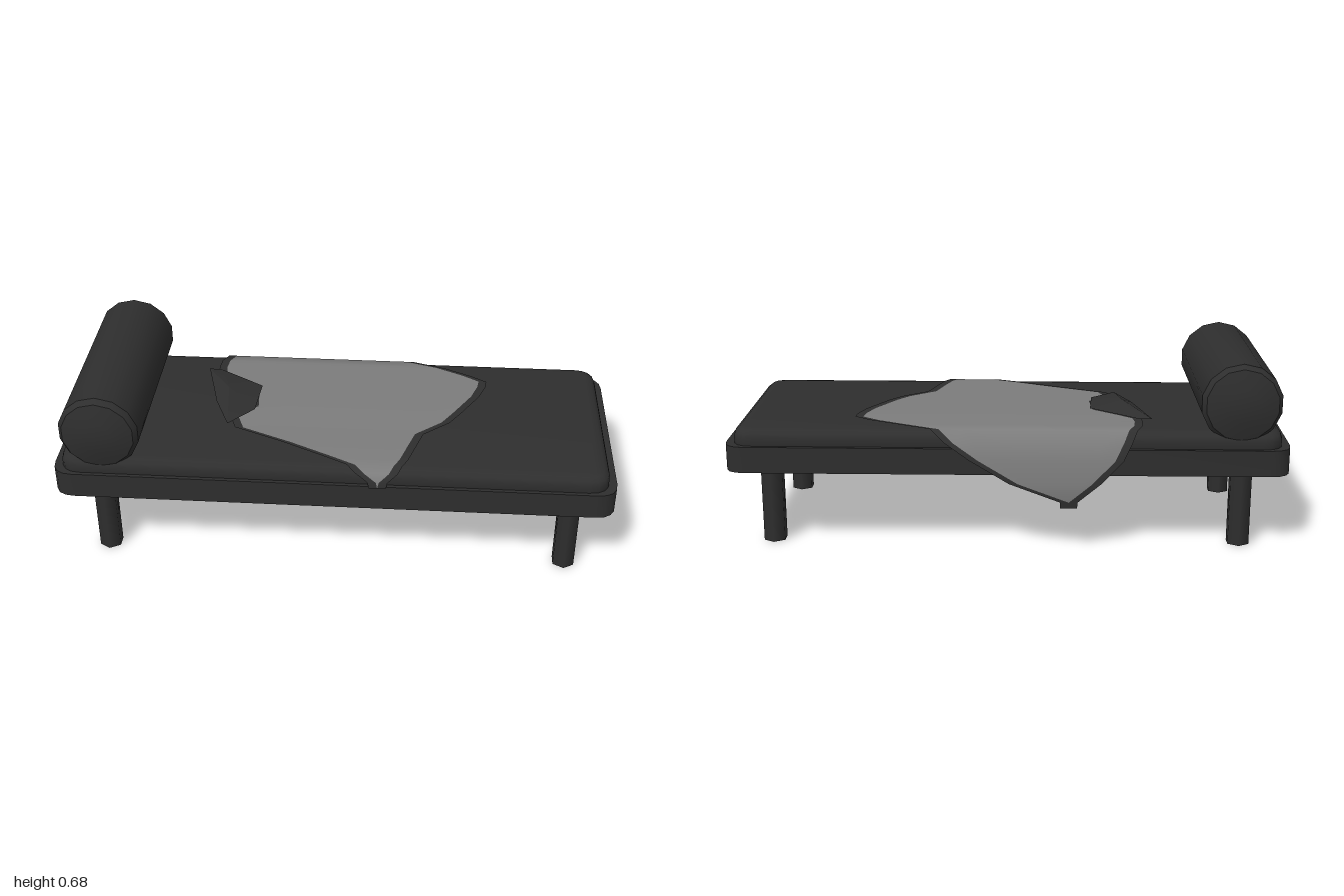
import * as THREE from 'three';
import { toCreasedNormals } from 'three/addons/utils/BufferGeometryUtils.js';

const CZ = 0.012; // bed centre in z

// Plan outline with rounded corners
function roundedRect(hx, hz, r) {
  const s = new THREE.Shape();
  s.moveTo(-hx + r, -hz);
  s.lineTo(hx - r, -hz);
  s.quadraticCurveTo(hx, -hz, hx, -hz + r);
  s.lineTo(hx, hz - r);
  s.quadraticCurveTo(hx, hz, hx - r, hz);
  s.lineTo(-hx + r, hz);
  s.quadraticCurveTo(-hx, hz, -hx, hz - r);
  s.lineTo(-hx, -hz + r);
  s.quadraticCurveTo(-hx, -hz, -hx + r, -hz);
  return s;
}

// Horizontal slab standing on height y
function slab(hx, hz, r, y, options) {
  const g = new THREE.ExtrudeGeometry(roundedRect(hx, hz, r), { curveSegments: 4, ...options });
  g.rotateX(-Math.PI / 2);
  g.translate(0, y, CZ);
  return toCreasedNormals(g, 0.7);
}

// Sheet between two edges, one pair of points per row
function sheet(rows, left, right) {
  const pos = [], index = [];
  const n = 8;
  rows.forEach((row, i) => {
    const [z, y] = row;
    for (let j = 0; j <= n; j++) {
      pos.push(THREE.MathUtils.lerp(left(row), right(row), j / n), y, z);
      if (i && j) {
        const d = i * (n + 1) + j, c = d - 1, b = d - n - 1, a = b - 1;
        index.push(a, c, b, b, c, d);
      }
    }
  });
  const g = new THREE.BufferGeometry();
  g.setAttribute('position', new THREE.Float32BufferAttribute(pos, 3));
  g.setIndex(index);
  g.computeVertexNormals();
  return g;
}

export function createModel() {
  const group = new THREE.Group();
  const dark = new THREE.MeshStandardMaterial({ name: 'charcoal', color: 0x2e2e2e });
  const darkCloth = new THREE.MeshStandardMaterial({ name: 'charcoal cloth', color: 0x2e2e2e, side: THREE.DoubleSide });
  const grey = new THREE.MeshStandardMaterial({ name: 'grey cloth', color: 0x7c7c7c, side: THREE.DoubleSide });
  const add = (name, geometry, material) => {
    const m = new THREE.Mesh(geometry, material);
    m.name = name;
    group.add(m);
    return m;
  };

  // Bed frame and softly edged mattress
  add('frame', slab(1, 0.388, 0.075, 0.28, { depth: 0.095, bevelEnabled: false }), dark);
  add('mattress', slab(0.972, 0.374, 0.075, 0.37, {
    depth: 0.033, bevelThickness: 0.03, bevelSize: 0.04, bevelOffset: -0.04, bevelSegments: 3,
  }), dark);

  // Six-sided legs
  for (const x of [-0.835, 0.845]) {
    for (const z of [-0.279, 0.302]) {
      const leg = add('leg', new THREE.CylinderGeometry(0.0435, 0.0435, 0.29, 6), dark);
      leg.position.set(x, 0.145, z);
    }
  }

  // Bolster with shallow conical ends
  const half = [[0, 0.393], [0.06, 0.39], [0.128, 0.371], [0.143, 0.351]];
  const profile = [
    ...half.map(([r, h]) => new THREE.Vector2(r, -h)),
    ...half.slice().reverse().map(([r, h]) => new THREE.Vector2(r, h)),
  ];
  const bolsterGeo = new THREE.LatheGeometry(profile, 14);
  bolsterGeo.rotateX(Math.PI / 2);
  const bolster = add('bolster', toCreasedNormals(bolsterGeo, 0.6), dark);
  bolster.position.set(-0.82, 0.534, CZ);

  // Throw rows from the back tip to the front tip: z, y, left edge, right edge
  const rows = [
    [-0.405, 0.168, -0.22, -0.22], [-0.407, 0.19, -0.22, -0.22],
    [-0.415, 0.26, -0.3, -0.04], [-0.4, 0.34, -0.38, 0.1],
    [-0.383, 0.4, -0.41, 0.19], [-0.345, 0.438, -0.43, 0.24],
    [-0.3, 0.442, -0.45, 0.36], [-0.25, 0.442, -0.455, 0.46],
    [-0.21, 0.443, -0.45, 0.52], [-0.17, 0.444, -0.4, 0.515],
    [-0.1, 0.444, -0.31, 0.49], [0.02, 0.444, -0.3, 0.42],
    [0.08, 0.442, -0.37, 0.38], [0.16, 0.441, -0.34, 0.285],
    [0.24, 0.441, -0.16, 0.26], [0.32, 0.44, 0, 0.235],
    [0.36, 0.438, 0.08, 0.215], [0.39, 0.425, 0.11, 0.2],
    [0.404, 0.395, 0.155, 0.165], [0.406, 0.372, 0.16, 0.16],
  ];
  const rim = 0.03;
  add('throw', sheet(rows, r => r[2], r => r[3]), grey);
  add('throwLeftHem', sheet(rows, r => r[2] - rim, r => r[2]), darkCloth);
  add('throwRightHem', sheet(rows, r => r[3], r => r[3] + rim), darkCloth);

  // Turned-over corner of the throw
  const fold = new THREE.BufferGeometry();
  fold.setAttribute('position', new THREE.Float32BufferAttribute([
    -0.42, 0.473, -0.06,
    -0.52, 0.446, -0.23, -0.47, 0.446, -0.225, -0.3, 0.452, -0.11,
    -0.31, 0.45, 0.05, -0.4, 0.446, 0.145, -0.46, 0.446, 0,
  ], 3));
  fold.setIndex([0, 2, 1, 0, 3, 2, 0, 4, 3, 0, 5, 4, 0, 6, 5, 0, 1, 6]);
  add('throwFold', toCreasedNormals(fold, 0.3), darkCloth);

  return group;
}
